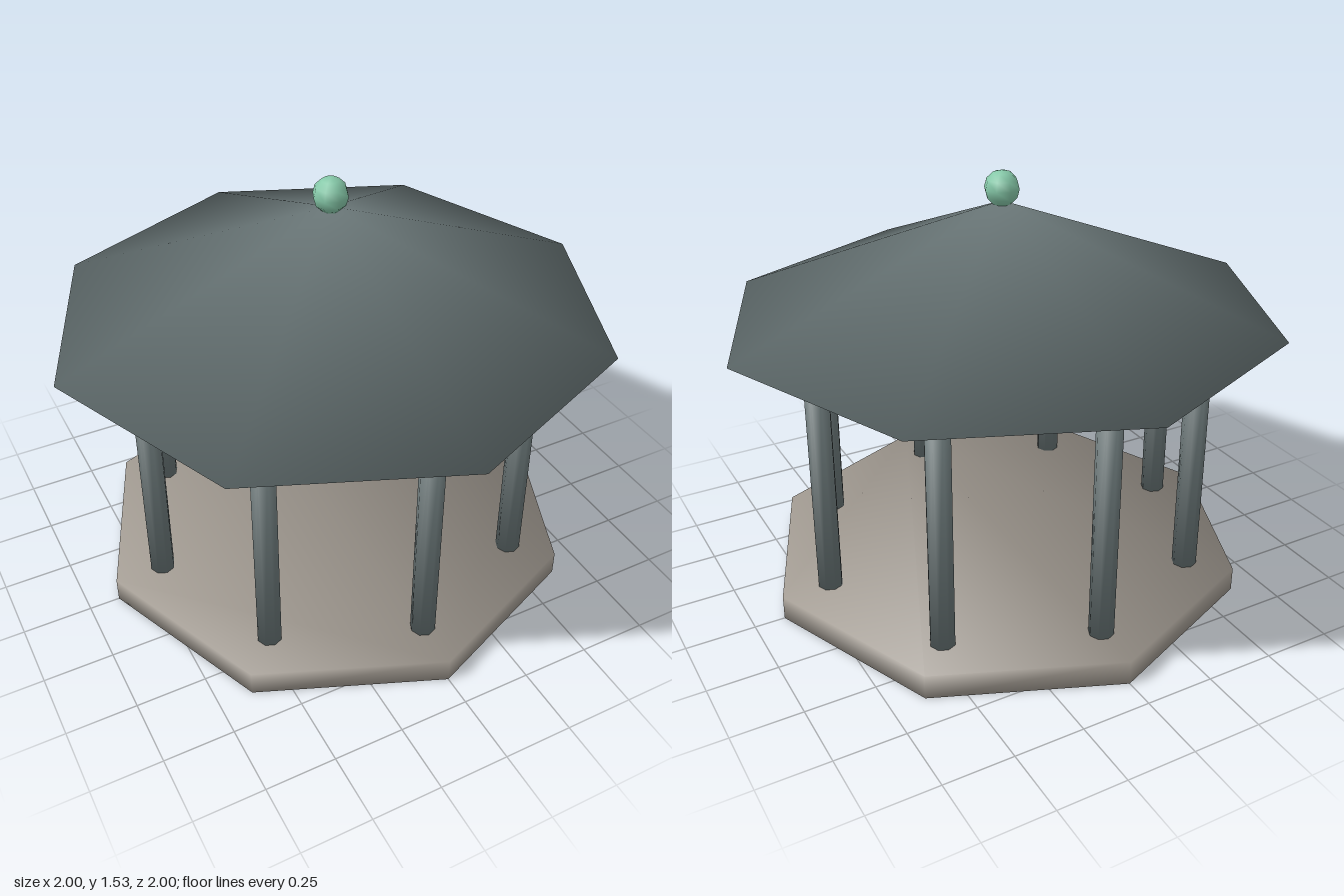
import * as THREE from 'three';

const SIDES = 8;

// Soft normals shared over every edge, each face weighted by its corner angle
function softenNormals(geometry) {
  const pos = geometry.attributes.position;
  const index = geometry.index.array;
  const normals = Array.from({ length: pos.count }, () => new THREE.Vector3());
  const point = (i) => new THREE.Vector3().fromBufferAttribute(pos, i);
  for (let f = 0; f < index.length; f += 3) {
    for (let k = 0; k < 3; k++) {
      const corner = index[f + k];
      const p = point(corner);
      const u = point(index[f + (k + 1) % 3]).sub(p);
      const v = point(index[f + (k + 2) % 3]).sub(p);
      const faceNormal = u.clone().cross(v).normalize();
      normals[corner].addScaledVector(faceNormal, u.angleTo(v));
    }
  }
  const flat = normals.flatMap((n) => n.normalize().toArray());
  geometry.setAttribute('normal', new THREE.Float32BufferAttribute(flat, 3));
  return geometry;
}

// Closed eight-sided solid with a corner on each axis; pointed makes a pyramid
function octagonSolid(radius, y0, y1, pointed = false) {
  const points = [];
  const faces = [];
  const addRing = (y) => {
    for (let i = 0; i < SIDES; i++) {
      const a = (i / SIDES) * Math.PI * 2;
      points.push(Math.sin(a) * radius, y, Math.cos(a) * radius);
    }
  };
  addRing(y0);
  if (pointed) points.push(0, y1, 0);
  else addRing(y1);
  for (let i = 0; i < SIDES; i++) {
    const j = (i + 1) % SIDES;
    if (pointed) faces.push(i, j, SIDES);
    else faces.push(i, j, SIDES + j, i, SIDES + j, SIDES + i);
  }
  for (let i = 1; i < SIDES - 1; i++) {
    faces.push(0, i + 1, i);
    if (!pointed) faces.push(SIDES, SIDES + i, SIDES + i + 1);
  }
  const geometry = new THREE.BufferGeometry();
  geometry.setAttribute('position', new THREE.Float32BufferAttribute(points, 3));
  geometry.setIndex(faces);
  return softenNormals(geometry);
}

export function createModel() {
  const slate = new THREE.MeshStandardMaterial({ color: 0x6c797a });
  slate.name = 'slate';
  const stone = new THREE.MeshStandardMaterial({ color: 0xa29b92 });
  stone.name = 'stone';
  const copper = new THREE.MeshStandardMaterial({ color: 0x86c9a9 });
  copper.name = 'copperGreen';

  const pavilion = new THREE.Group();
  pavilion.name = 'pavilion';
  const add = (name, geometry, material, parent = pavilion) => {
    const mesh = new THREE.Mesh(geometry, material);
    mesh.name = name;
    parent.add(mesh);
    return mesh;
  };

  // Floor, ceiling and roof
  add('floor', octagonSolid(0.89, 0, 0.09), stone);
  add('ceilingBeam', octagonSolid(0.795, 0.978, 1.022), copper);
  add('roof', octagonSolid(1, 1.02, 1.425, true), slate);

  // Ring of columns, one under each corner
  const columns = new THREE.Group();
  columns.name = 'columns';
  pavilion.add(columns);
  const columnGeometry = octagonSolid(0.045, 0.088, 0.98);
  for (let i = 0; i < SIDES; i++) {
    const a = (i / SIDES) * Math.PI * 2;
    const column = add('column', columnGeometry, slate, columns);
    column.position.set(Math.sin(a) * 0.708, 0, Math.cos(a) * 0.708);
  }

  // Ball on the peak
  const finial = add('finial', new THREE.SphereGeometry(0.063, 8, 6), copper);
  finial.position.y = 1.469;

  return pavilion;
}
